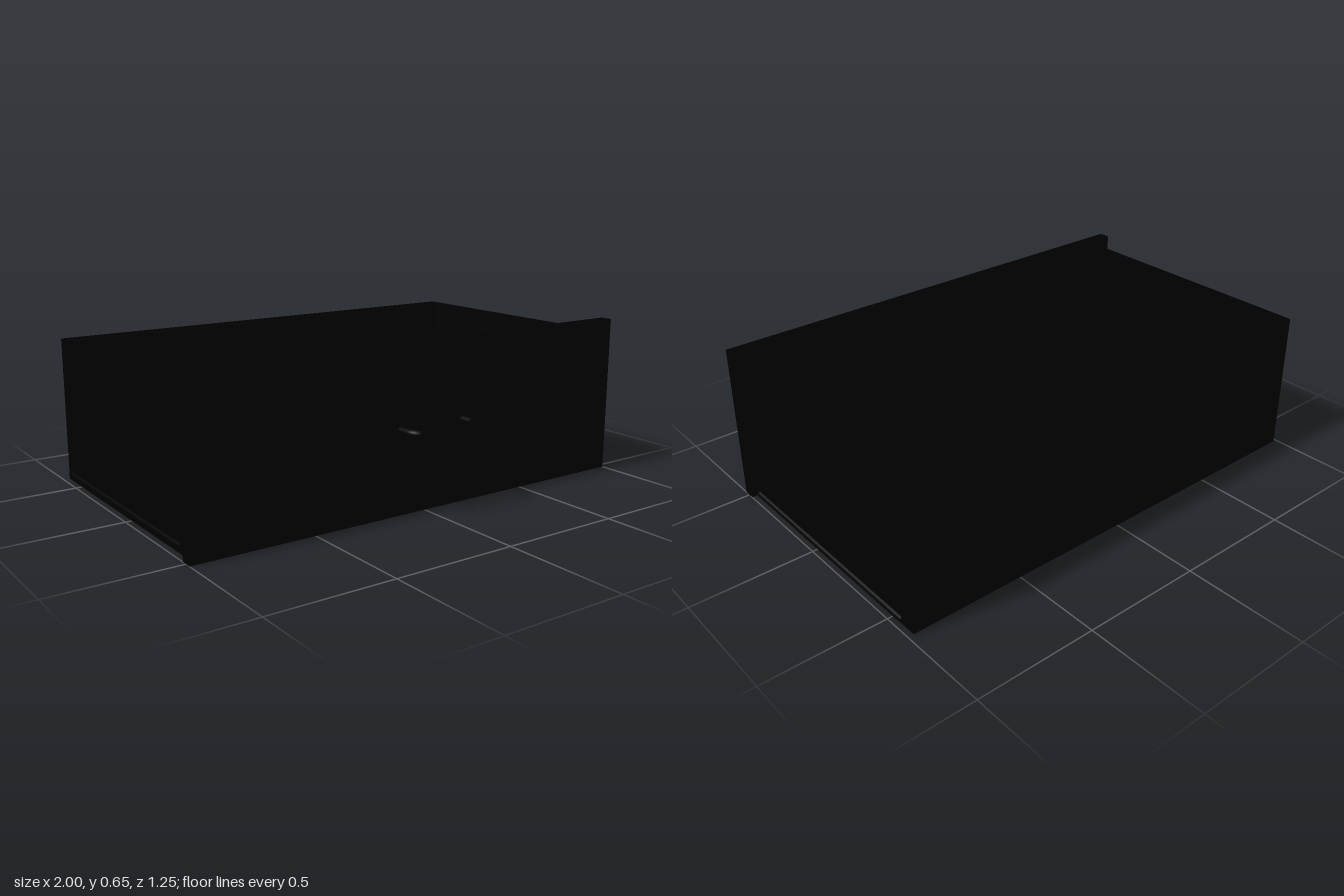
import * as THREE from 'three';

const black = new THREE.MeshStandardMaterial({ color: 0x000000 });

export function createModel() {
  const drawer = new THREE.Group();
  drawer.name = 'drawer';

  const add = (name, geometry, x = 0, y = 0, z = 0) => {
    const mesh = new THREE.Mesh(geometry, black);
    mesh.name = name;
    mesh.position.set(x, y, z);
    drawer.add(mesh);
    return mesh;
  };
  // Board given by its minimum and maximum corners
  const board = (name, a, b) => add(
    name,
    new THREE.BoxGeometry(b[0] - a[0], b[1] - a[1], b[2] - a[2]),
    (a[0] + b[0]) / 2, (a[1] + b[1]) / 2, (a[2] + b[2]) / 2
  );

  // Front panel, standing slightly clear of the box
  board('frontPanel', [-1, 0, 0.477], [1, 0.652, 0.526]);

  // Box open at the top and front, its back panel set in behind a slim rim
  const w = 0.978, t = 0.03, low = 0.004, high = 0.6, back = -0.627, front = 0.465;
  const recess = 0.04, inner = back + 0.06;
  board('floor', [-w + t, low, back], [w - t, low + 0.025, front]);
  board('leftWall', [w - t, low, back], [w, high, front]);
  board('rightWall', [-w, low, back], [-w + t, high, front]);
  board('backPanel', [-w + t, low + 0.025, back + recess], [w - t, high - 0.02, inner]);
  board('backRim', [-w + t, high - 0.02, back], [w - t, high, inner]);

  // Slide rails: shallow channels, rounded inside, opening outward on each side
  const depth = 0.021, y0 = 0.035, y1 = 0.106, lip = 0.005, r = 0.016;
  const profile = new THREE.Shape();
  profile.moveTo(0, y0);
  profile.lineTo(depth, y0);
  profile.lineTo(depth, y0 + lip);
  profile.quadraticCurveTo(lip, y0 + lip, lip, y0 + lip + r);
  profile.lineTo(lip, y1 - lip - r);
  profile.quadraticCurveTo(lip, y1 - lip, depth, y1 - lip);
  profile.lineTo(depth, y1);
  profile.lineTo(0, y1);
  const railGeometry = new THREE.ExtrudeGeometry(profile, { depth: 1, bevelEnabled: false, curveSegments: 8 });
  add('leftRail', railGeometry, w, 0, -0.57);
  add('rightRail', railGeometry.clone().rotateY(Math.PI), -w, 0, 0.43);

  // Bent bar handle
  const xa = -0.117, xb = 0.184, z0 = 0.515, z1 = 0.613, bend = 0.04;
  const p = (x, z) => new THREE.Vector3(x, 0.334, z);
  const path = new THREE.CurvePath();
  path.add(new THREE.LineCurve3(p(xa, z0), p(xa, z1 - bend)));
  path.add(new THREE.QuadraticBezierCurve3(p(xa, z1 - bend), p(xa, z1), p(xa + bend, z1)));
  path.add(new THREE.LineCurve3(p(xa + bend, z1), p(xb - bend, z1)));
  path.add(new THREE.QuadraticBezierCurve3(p(xb - bend, z1), p(xb, z1), p(xb, z1 - bend)));
  path.add(new THREE.LineCurve3(p(xb, z1 - bend), p(xb, z0)));
  add('handle', new THREE.TubeGeometry(path, 60, 0.0145, 12));

  return drawer;
}
